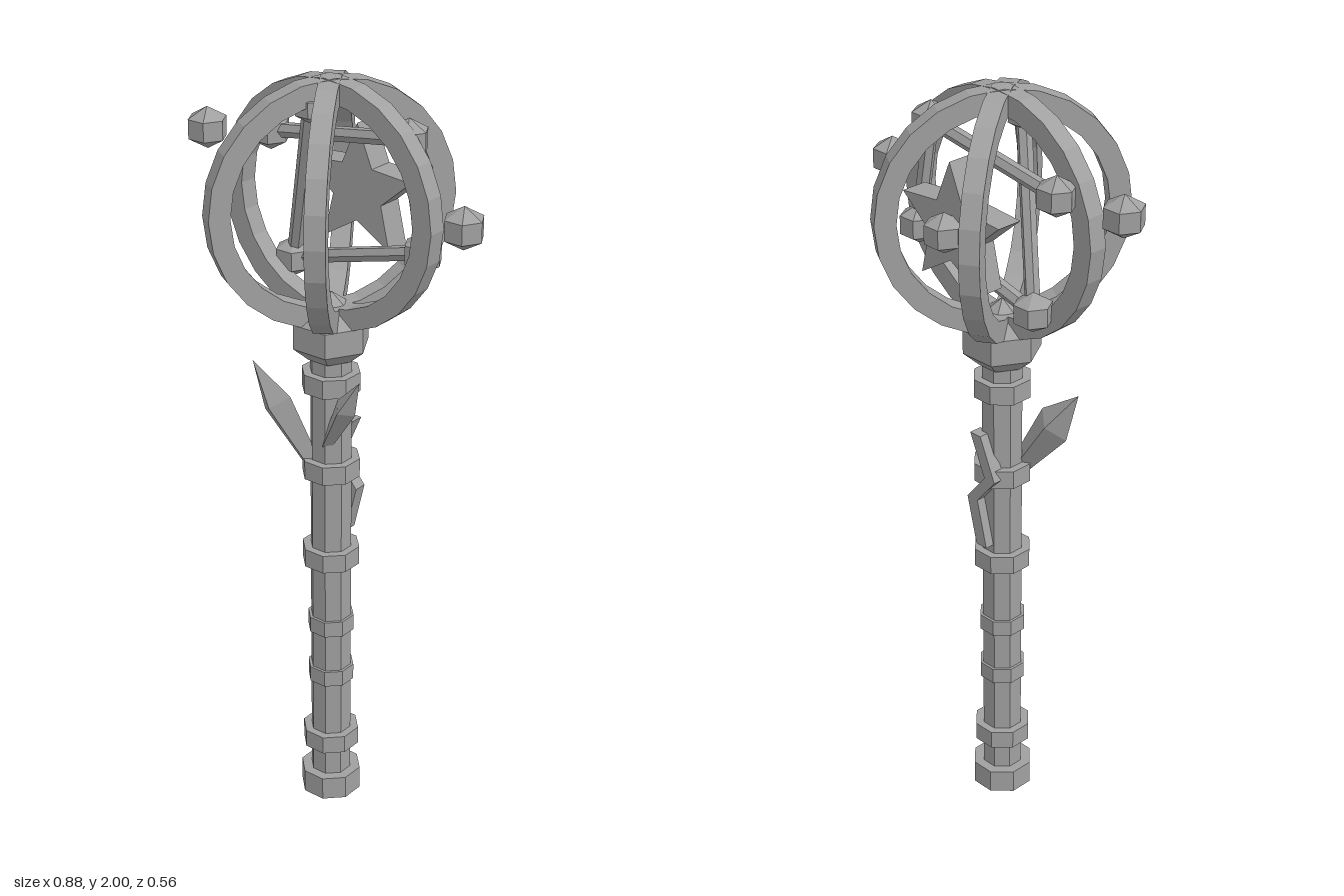
import * as THREE from 'three';

const stone = new THREE.MeshStandardMaterial({ color: 0xa0a0a0, flatShading: true });
stone.name = 'grey stone';

const vec = (p) => new THREE.Vector3(...p);
const UP = new THREE.Vector3(0, 1, 0);

export function createModel() {
  const model = new THREE.Group();
  model.name = 'staff';

  const add = (name, geometry, position = [0, 0, 0]) => {
    const mesh = new THREE.Mesh(geometry, stone);
    mesh.name = name;
    mesh.position.set(...position);
    model.add(mesh);
    return mesh;
  };
  const lathe = (points, sides) =>
    new THREE.LatheGeometry(points.map((p) => new THREE.Vector2(...p)), sides);

  // Eight-sided section with flats facing the axes; half is the half width
  const octagon = (name, half, y0, y1) => {
    const r = half / Math.cos(Math.PI / 8);
    const g = new THREE.CylinderGeometry(r, r, y1 - y0, 8).rotateY(Math.PI / 8);
    return add(name, g, [0, (y0 + y1) / 2, 0]);
  };

  // Shaft, foot and collars
  octagon('shaft', 0.05, 0.02, 1.31);
  octagon('foot', 0.075, 0, 0.065);
  for (const [half, y] of [[0.07, 0.17], [0.057, 0.372], [0.057, 0.525],
    [0.07, 0.73], [0.07, 0.985], [0.07, 1.225]]) {
    const h = half > 0.06 ? 0.025 : 0.022;
    octagon('collar', half, y - h, y + h);
  }

  // Hexagonal cup with a pointed top
  add('cup', lathe([[0, 1.285], [0.06, 1.285], [0.1, 1.32], [0.1, 1.385], [0.055, 1.42], [0, 1.46]], 6)
    .rotateY(Math.PI / 6));

  // Three upright rings forming the cage
  const centreY = 1.686;
  const ringProfile = [[0.26, -0.025], [0.314, -0.025], [0.314, 0.025], [0.26, 0.025], [0.26, -0.025]];
  for (const turn of [0, 1.02, -1.02]) {
    add('cageRing', lathe(ringProfile, 24).rotateX(Math.PI / 2), [0, centreY, 0]).rotation.y = turn;
  }

  // Five-pointed star set behind the cage centre
  const star = new THREE.Shape();
  for (let i = 0; i < 10; i++) {
    const r = i % 2 ? 0.077 : 0.17;
    const a = (i * Math.PI) / 5;
    star[i ? 'lineTo' : 'moveTo'](r * Math.sin(a), r * Math.cos(a));
  }
  add('star', new THREE.ExtrudeGeometry(star, { depth: 0.07, bevelEnabled: false }), [0, 1.69, -0.17]);

  // Hexagonal gems: floating, behind the star, and at the joints of the inner frame
  const gem = (name, p, r) =>
    add(name, lathe([[0, -1.08 * r], [r, -0.5 * r], [r, 0.5 * r], [0, 1.08 * r]], 6).rotateY(Math.PI / 6), p);
  gem('floatingGem', [-0.39, 1.795, 0], 0.05);
  gem('floatingGem', [0.388, 1.715, 0], 0.05);
  gem('starGem', [0, 1.69, -0.19], 0.048);

  const joints = [[-0.23, 1.81, -0.053], [0.195, 1.875, -0.045], [0.235, 1.6, -0.055],
    [-0.16, 1.495, -0.055], [-0.03, 1.93, 0.04]];
  joints.forEach((p, i) => gem('frameGem', p, i === 4 ? 0.038 : 0.048));

  // Bars between neighbouring joints
  for (let i = 0; i < joints.length - 1; i++) {
    const a = vec(joints[i]);
    const b = vec(joints[i + 1]);
    const dir = b.clone().sub(a);
    const bar = add('frameBar', new THREE.CylinderGeometry(0.019, 0.019, dir.length(), 6));
    bar.position.copy(a).add(b).multiplyScalar(0.5);
    bar.quaternion.setFromUnitVectors(UP, dir.normalize());
  }

  // Pointed leaf blades on the front of the shaft
  const blade = (name, from, to, width, depth) => {
    const base = vec(from);
    const dir = vec(to).sub(base);
    const len = dir.length();
    const g = lathe([[0, 0], [0.5, 0], [1, 0.6 * len], [0, len]], 4).scale(width, 1, depth);
    const mesh = add(name, g, from);
    mesh.quaternion.setFromUnitVectors(UP, dir.normalize());
  };
  blade('rightLeaf', [-0.025, 0.985, 0.035], [-0.2, 1.24, 0.065], 0.052, 0.036);
  blade('leftLeaf', [0.015, 1.06, 0.035], [0.14, 1.275, 0.065], 0.03, 0.036);

  // Zigzag vine on the back of the shaft
  const path = [[0.02, 1.1], [-0.03, 0.985], [0.032, 0.91], [0, 0.78]];
  const w = 0.018;
  const vine = new THREE.Shape([
    ...path.map(([x, y]) => new THREE.Vector2(x - w, y)),
    ...path.slice().reverse().map(([x, y]) => new THREE.Vector2(x + w, y)),
  ]);
  add('backVine', new THREE.ExtrudeGeometry(vine, { depth: 0.035, bevelEnabled: false }), [0, 0, -0.075]);

  return model;
}
